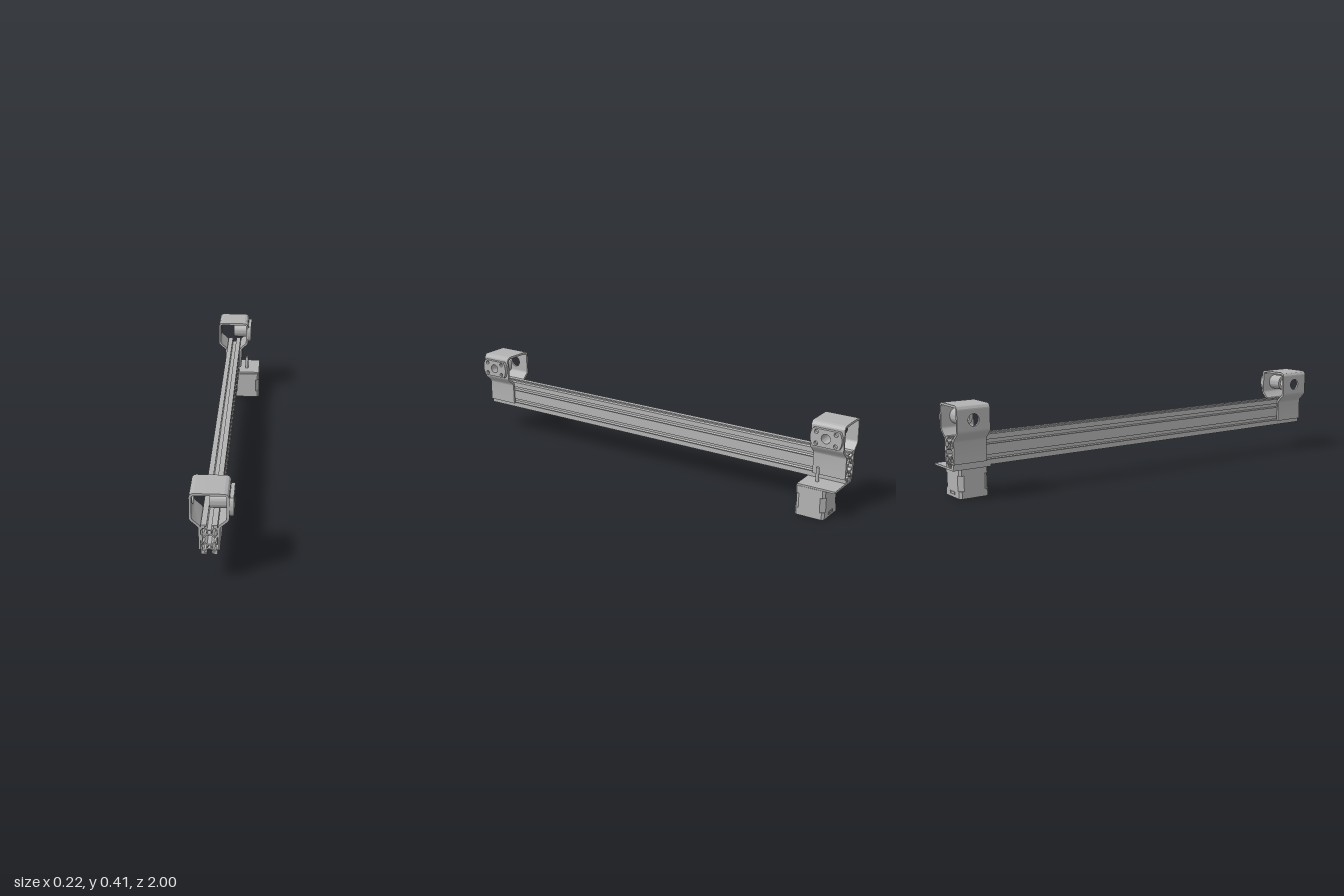
import * as THREE from 'three';
import { toCreasedNormals } from 'three/addons/utils/BufferGeometryUtils.js';

const metal = new THREE.MeshStandardMaterial({ color: 0xb2b2b2 });
metal.name = 'grey metal';

const CX = -0.0325; // centre line of rail and brackets
const MM = 0.0033; // one millimetre in model units
const RAIL_Y = 0.2095;
const BORE_Y = 0.351;
const BRACKET_DEPTH = 0.153;

const polygon = (pts) => new THREE.Shape(pts.map(([x, y]) => new THREE.Vector2(x, y)));

function addHole(shape, x, y, r) {
  shape.holes.push(new THREE.Path().absarc(x, y, r, 0, Math.PI * 2, true));
  return shape;
}

// extrusion centred on its own depth
function extrude(shape, depth) {
  const g = new THREE.ExtrudeGeometry(shape, { depth, bevelEnabled: false, curveSegments: 20 });
  g.translate(0, 0, -depth / 2);
  return toCreasedNormals(g, 0.6);
}

function add(parent, name, geometry, x = 0, y = 0, z = 0) {
  const mesh = new THREE.Mesh(geometry, metal);
  mesh.name = name;
  mesh.position.set(x, y, z);
  parent.add(mesh);
  return mesh;
}

// 2 x 1 slotted rail section, in millimetres
function railShape() {
  const slot = [[10, -3], [8.2, -3], [8.2, -5.5], [6.5, -5.5], [3.5, -2.5],
    [3.5, 2.5], [6.5, 5.5], [8.2, 5.5], [8.2, 3], [10, 3]];
  const place = (ux, uy, cy) => slot.map(([d, t]) => [ux * d - uy * t, cy + uy * d + ux * t]);
  const outline = [
    [10, -20], ...place(1, 0, -10), ...place(1, 0, 10),
    [10, 20], ...place(0, 1, 10),
    [-10, 20], ...place(-1, 0, 10), ...place(-1, 0, -10),
    [-10, -20], ...place(0, -1, -10),
  ];
  const scaled = (pts) => pts.map(([x, y]) => [x * MM, y * MM]);
  const shape = polygon(scaled(outline));
  shape.holes.push(polygon(scaled([[8, -3], [5.5, -3], [2.5, -6], [-2.5, -6], [-5.5, -3], [-8, -3],
    [-8, 3], [-5.5, 3], [-2.5, 6], [2.5, 6], [5.5, 3], [8, 3]])));
  for (const y of [-10, 10]) addHole(shape, 0, y * MM, 2.4 * MM);
  return shape;
}

// bent strap over the rail, carrying a flanged bushing on its left wall
function makeBracket(name, z) {
  const group = new THREE.Group();
  group.name = name;
  group.position.set(CX, 0, z);
  const out = 0.0785, inn = 0.0685, top = 0.415, low = 0.31, high = 0.395;

  // rounded top
  const cap = new THREE.Shape();
  cap.moveTo(out, high);
  cap.absarc(out - 0.02, top - 0.02, 0.02, 0, Math.PI / 2, false);
  cap.absarc(-out + 0.02, top - 0.02, 0.02, Math.PI / 2, Math.PI, false);
  cap.lineTo(-inn, high);
  cap.absarc(-inn + 0.01, top - 0.02, 0.01, Math.PI, Math.PI / 2, true);
  cap.absarc(inn - 0.01, top - 0.02, 0.01, Math.PI / 2, 0, true);
  add(group, 'bracketTop', extrude(cap, BRACKET_DEPTH));

  // angled lower arms
  const arm = [[0.0335, 0.163], [0.0425, 0.163], [0.0425, 0.257], [0.0435, 0.263], [0.0465, 0.268],
    [0.0745, 0.294], [0.0775, 0.299], [out, 0.304], [out, low],
    [inn, low], [inn, 0.306], [0.0655, 0.299], [0.038, 0.274], [0.0345, 0.268], [0.0335, 0.262]];
  for (const s of [1, -1]) {
    add(group, s > 0 ? 'leftArm' : 'rightArm',
      extrude(polygon(arm.map(([x, y]) => [s * x, y])), BRACKET_DEPTH));
    // upright wall with its round opening
    const h = BRACKET_DEPTH / 2;
    const wall = polygon([[-h, low], [h, low], [h, high], [-h, high]]);
    addHole(wall, 0, BORE_Y, s > 0 ? 0.035 : 0.026);
    const geo = extrude(wall, out - inn).rotateY(Math.PI / 2);
    add(group, s > 0 ? 'leftWall' : 'rightWall', geo, s * (out + inn) / 2);
  }

  // bushing sleeve
  const ring = new THREE.Shape().absarc(0, 0, 0.036, 0, Math.PI * 2, false);
  addHole(ring, 0, 0, 0.021);
  add(group, 'bushingSleeve', extrude(ring, 0.08).rotateY(Math.PI / 2), 0.0395, BORE_Y);

  // flange: a disc cut flat above and below
  const R = 0.073, a = Math.asin(0.04 / R);
  const flange = new THREE.Shape();
  flange.absarc(0, 0, R, -a, a, false);
  flange.absarc(0, 0, R, Math.PI - a, Math.PI + a, false);
  flange.closePath();
  addHole(flange, 0, 0, 0.021);
  for (const x of [-0.045, 0.045]) for (const y of [-0.026, 0.026]) addHole(flange, x, y, 0.009);
  add(group, 'bushingFlange', extrude(flange, 0.016).rotateY(Math.PI / 2), 0.0875, BORE_Y);
  return group;
}

// square block with cut corners, standing from y0 to y1
function motorBlock(y0, y1, cut) {
  const h = 0.0695, c = h - cut;
  const shape = polygon([[h, -c], [h, c], [c, h], [-c, h], [-h, c], [-h, -c], [-c, -h], [c, -h]]);
  return extrude(shape, y1 - y0).rotateX(-Math.PI / 2).translate(0, (y0 + y1) / 2, 0);
}

function makeMotor() {
  const motor = new THREE.Group();
  motor.name = 'motor';
  motor.position.set(0.0405, 0, -0.885);
  add(motor, 'motorBase', motorBlock(0, 0.033, 0.01));
  add(motor, 'motorCore', motorBlock(0.033, 0.1, 0.02));
  add(motor, 'motorHead', motorBlock(0.1, 0.135, 0.01));
  add(motor, 'motorShaft', new THREE.CylinderGeometry(0.0075, 0.0075, 0.08, 24), 0, 0.168, 0);

  // socket rim on the rear face
  const rim = polygon([[-0.02, -0.007], [0.02, -0.007], [0.02, 0.007], [-0.02, 0.007]]);
  rim.holes.push(polygon([[-0.017, -0.004], [-0.017, 0.004], [0.017, 0.004], [0.017, -0.004]]));
  add(motor, 'motorSocket', extrude(rim, 0.003), 0, 0.018, -0.0705);
  return motor;
}

export function createModel() {
  const model = new THREE.Group();
  model.name = 'linearRail';
  add(model, 'slottedRail', extrude(railShape(), 2), CX, RAIL_Y, 0);
  const bz = 1 - BRACKET_DEPTH / 2;
  model.add(makeBracket('frontBracket', bz), makeBracket('rearBracket', -bz));
  // plate joining motor and rail
  add(model, 'motorPlate', new THREE.BoxGeometry(0.169, 0.009, 0.178), 0.0235, 0.1385, -0.911);
  model.add(makeMotor());
  return model;
}
